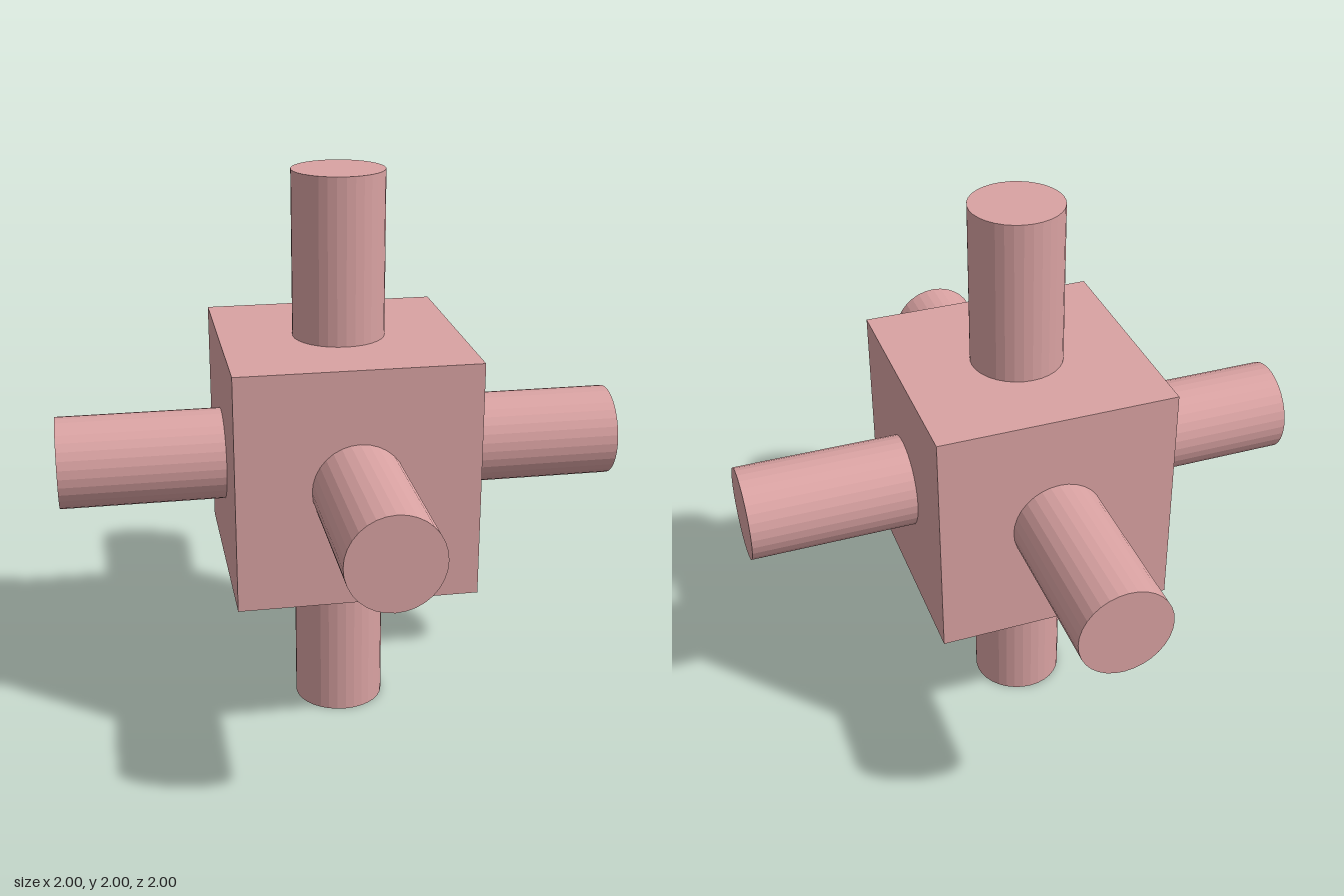
import * as THREE from 'three';

export function createModel() {
  const model = new THREE.Group();
  const pink = new THREE.MeshStandardMaterial({ color: 0xd9a2a2, flatShading: true });
  pink.name = 'dusty pink';

  const side = 0.84, radius = 0.162, reach = 1;
  const centre = new THREE.Vector3(0, 1, 0);

  // Central cube
  const cube = new THREE.Mesh(new THREE.BoxGeometry(side, side, side), pink);
  cube.name = 'cube';
  cube.position.copy(centre);
  model.add(cube);

  // One round post standing out from the middle of each face
  const length = reach - side / 2;
  const postGeometry = new THREE.CylinderGeometry(radius, radius, length, 32);
  const up = new THREE.Vector3(0, 1, 0);
  const directions = {
    topPost: [0, 1, 0], bottomPost: [0, -1, 0],
    leftPost: [1, 0, 0], rightPost: [-1, 0, 0],
    frontPost: [0, 0, 1], backPost: [0, 0, -1],
  };
  for (const [name, d] of Object.entries(directions)) {
    const dir = new THREE.Vector3(...d);
    const post = new THREE.Mesh(postGeometry, pink);
    post.name = name;
    post.quaternion.setFromUnitVectors(up, dir);
    post.position.copy(centre).addScaledVector(dir, side / 2 + length / 2);
    model.add(post);
  }
  return model;
}
